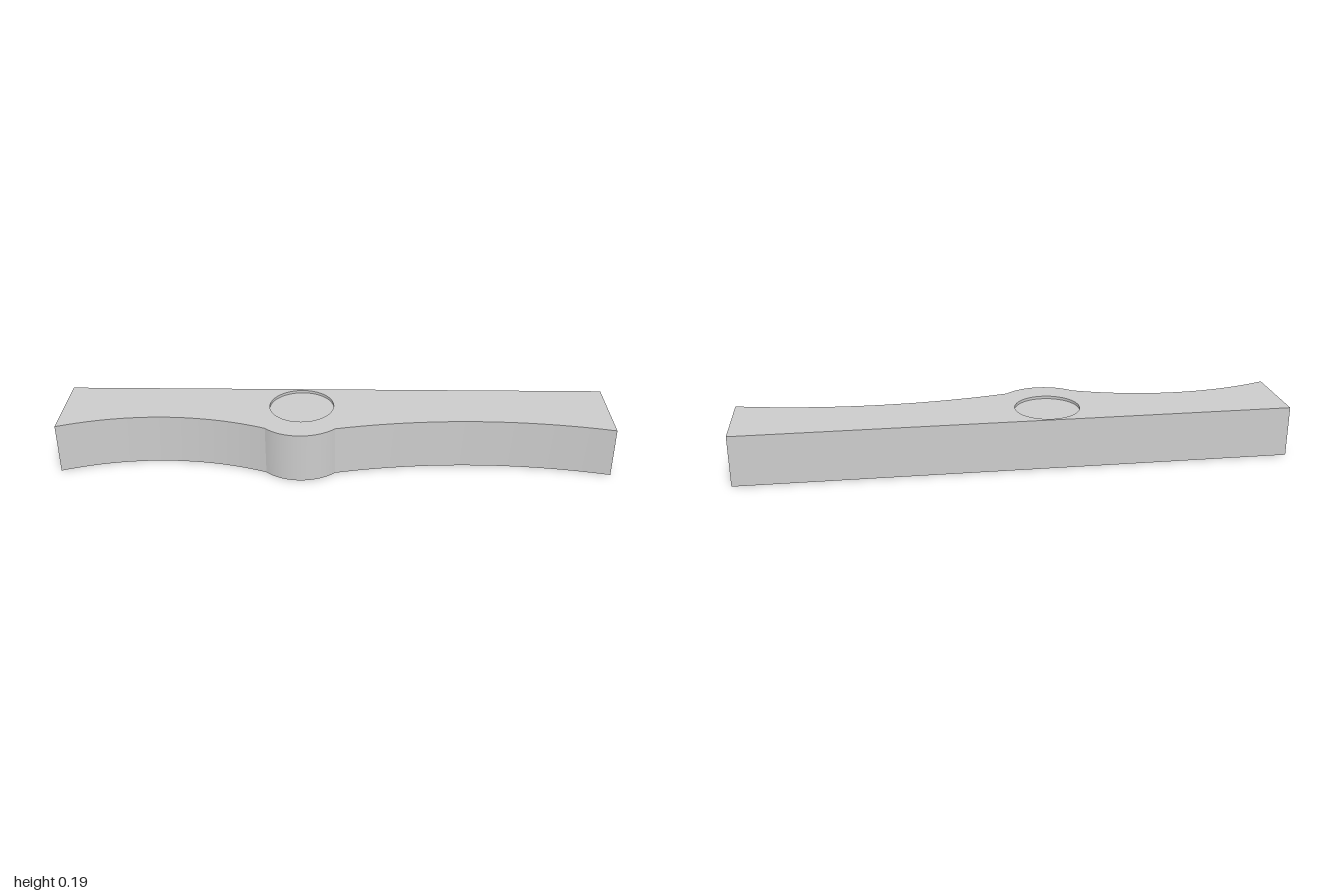
import * as THREE from 'three';
import { toCreasedNormals } from 'three/addons/utils/BufferGeometryUtils.js';

const HEIGHT = 0.186, BACK = 0.173, FRONT = -0.121; // plan coordinates: y points to the back
const RECESS = { x: -0.125, y: 0.045, r: 0.118, bottomDepth: 0.045, topDepth: 0.01 };

// Circular arc from x0 to x1 on the front line, bulging by sag (positive = inwards)
function arc(x0, x1, sag, n) {
  const half = (x1 - x0) / 2, s = Math.abs(sag);
  const r = (half * half + s * s) / (2 * s), a = Math.asin(half / r);
  return Array.from({ length: n + 1 }, (_, i) => {
    const t = a * (2 * i / n - 1);
    return new THREE.Vector2((x0 + x1) / 2 + r * Math.sin(t),
      FRONT + Math.sign(sag) * (r * Math.cos(t) - r + s));
  });
}

// Upright wall along a closed loop; a counter-clockwise loop faces outwards
function wall(loop, y0, y1) {
  const pos = [];
  loop.forEach((p, i) => {
    const q = loop[(i + 1) % loop.length];
    pos.push(p.x, y0, -p.y, q.x, y0, -q.y, q.x, y1, -q.y);
    pos.push(p.x, y0, -p.y, q.x, y1, -q.y, p.x, y1, -p.y);
  });
  const g = new THREE.BufferGeometry();
  g.setAttribute('position', new THREE.Float32BufferAttribute(pos, 3));
  return toCreasedNormals(g, 0.3);
}

// Flat horizontal face at height y, facing up or down
function flat(shape, y, up) {
  const g = new THREE.ShapeGeometry(shape);
  g.rotateX(-Math.PI / 2).translate(0, y, 0);
  if (!up) {
    g.index.array.reverse();
    g.computeVertexNormals();
  }
  return g;
}

export function createModel() {
  const group = new THREE.Group();
  const material = new THREE.MeshStandardMaterial({ color: 0xcccccc });
  const add = (name, geometry) => {
    const mesh = new THREE.Mesh(geometry, material);
    mesh.name = name;
    group.add(mesh);
  };

  // Bar outline: hollow left grip, rounded boss, hollow right grip, straight back
  const outline = [
    new THREE.Vector2(-1, BACK),
    ...arc(-1, -0.25, 0.074, 32),
    ...arc(-0.25, 0, -0.052, 24).slice(1),
    ...arc(0, 1, 0.058, 32).slice(1),
    new THREE.Vector2(1, BACK),
  ];
  // Round recess, clockwise so that its wall faces inwards
  const circle = Array.from({ length: 64 }, (_, i) => {
    const t = -i / 64 * Math.PI * 2;
    return new THREE.Vector2(RECESS.x + RECESS.r * Math.cos(t), RECESS.y + RECESS.r * Math.sin(t));
  });
  const plate = new THREE.Shape(outline);
  plate.holes.push(new THREE.Path(circle));
  const disc = new THREE.Shape(circle);

  // Bar body
  add('barSides', wall(outline, 0, HEIGHT));
  add('barTop', flat(plate, HEIGHT, true));
  add('barBottom', flat(plate, 0, false));

  // Shallow recess above, deeper recess below
  const topFloor = HEIGHT - RECESS.topDepth;
  add('topRecessWall', wall(circle, topFloor, HEIGHT));
  add('topRecessFloor', flat(disc, topFloor, true));
  add('bottomRecessWall', wall(circle, 0, RECESS.bottomDepth));
  add('bottomRecessFloor', flat(disc, RECESS.bottomDepth, false));
  return group;
}
